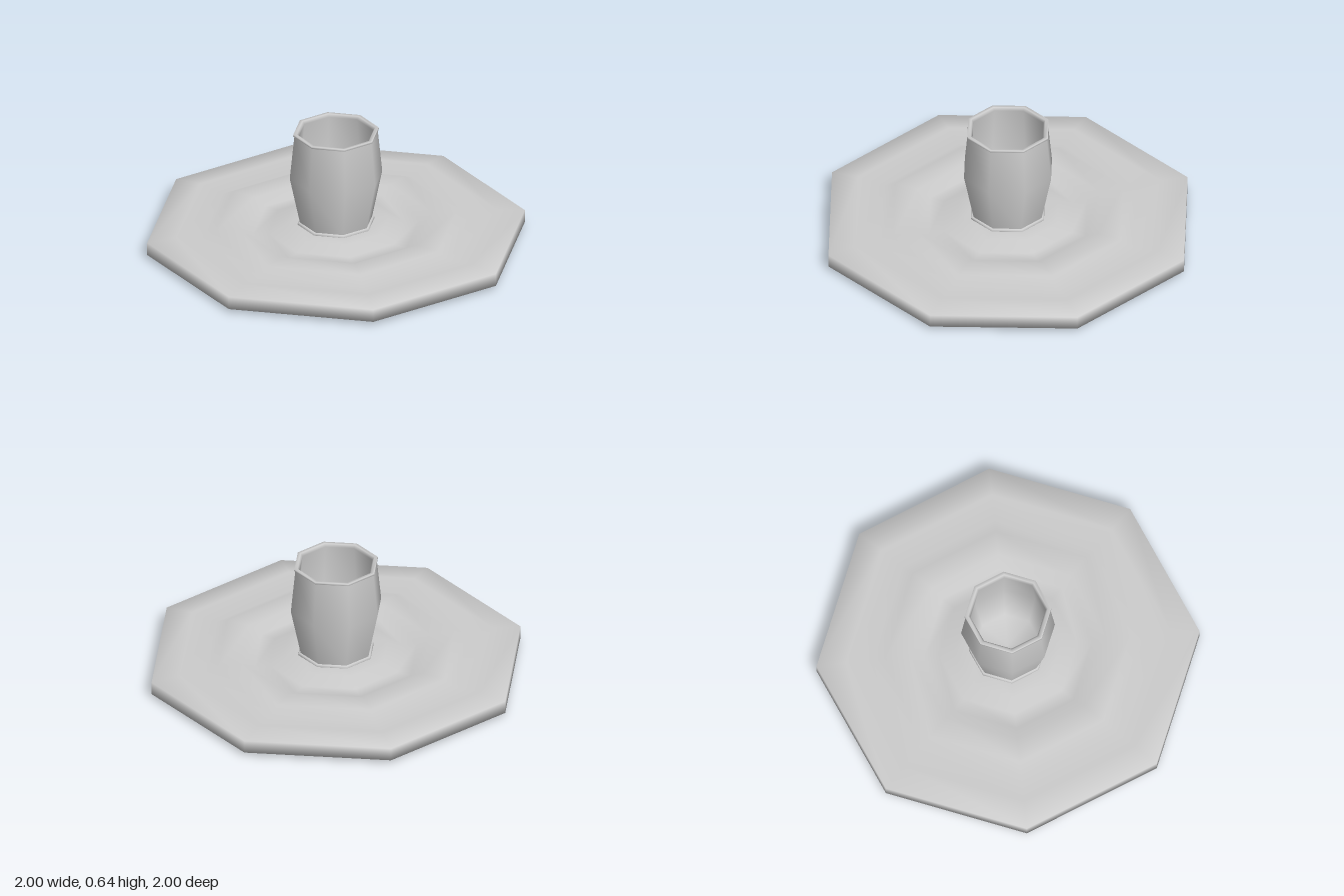
import * as THREE from 'three';

const SIDES = 8;

// Revolves a [radius, height] profile into a smooth-shaded octagonal form
function turned(name, profile) {
  const points = profile.map(([r, y]) => new THREE.Vector2(r, y));
  const material = new THREE.MeshStandardMaterial({ color: 0xcccccc, side: THREE.DoubleSide });
  const mesh = new THREE.Mesh(new THREE.LatheGeometry(points, SIDES), material);
  mesh.name = name;
  return mesh;
}

export function createModel() {
  const group = new THREE.Group();
  group.name = 'candleHolder';

  // Wide dish: flat underside, thin rim, two raised rings on top
  group.add(turned('dish', [
    [0, 0], [0.64, 0], [0.85, 0], [1, 0.02],
    [1, 0.09], [0.85, 0.105],
    [0.71, 0.085], [0.64, 0.12], [0.51, 0.12],
    [0.44, 0.085], [0.36, 0.085], [0.28, 0.12], [0.18, 0.12],
  ]));

  // Collar where the cup meets the dish
  group.add(turned('collar', [
    [0.2, 0.115], [0.205, 0.122], [0.2, 0.132], [0.185, 0.132],
  ]));

  // Barrel-shaped open cup with a small lip and a hollow inside
  group.add(turned('cup', [
    [0.19, 0.125], [0.245, 0.39], [0.221, 0.628],
    [0.227, 0.633], [0.226, 0.643], [0.208, 0.643],
    [0.197, 0.628], [0.22, 0.39], [0.172, 0.14], [0, 0.135],
  ]));

  return group;
}
